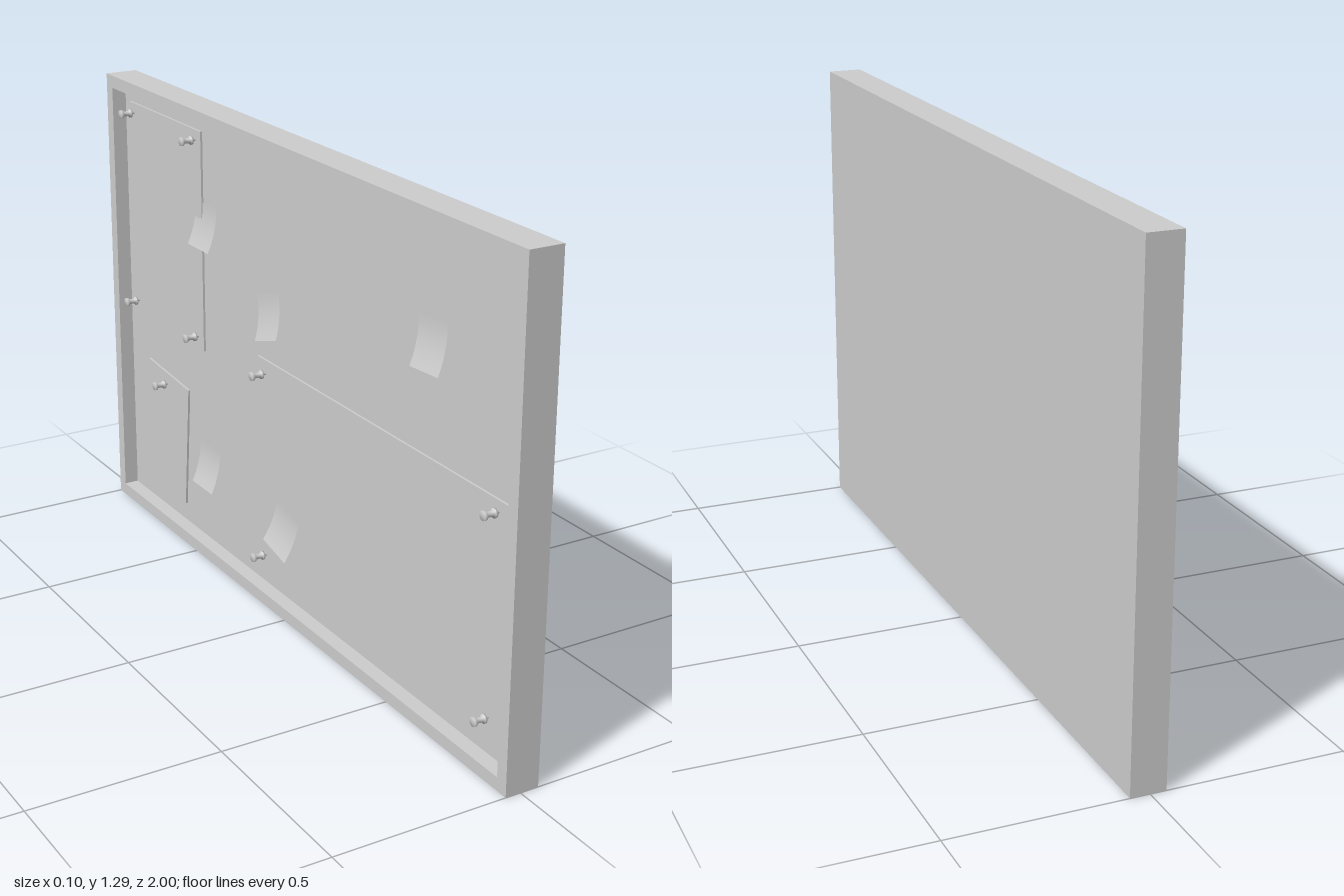
import * as THREE from 'three';

const W = 2, H = 1.29, RIM = 0.035, BACK = -0.05, FRONT = 0.041;

export function createModel() {
  const model = new THREE.Group();
  model.name = 'noticeBoard';
  const grey = new THREE.MeshStandardMaterial({ color: 0xcccccc });
  const thin = new THREE.MeshStandardMaterial({ color: 0xcccccc, side: THREE.DoubleSide });

  // The board is laid out in its own plane (x across, y up, z out), then turned to face -x
  const board = new THREE.Group();
  board.name = 'board';
  board.rotation.y = -Math.PI / 2;
  model.add(board);

  const add = (name, geometry, x, y, z, turn = 0, material = grey) => {
    const mesh = new THREE.Mesh(geometry, material);
    mesh.name = name;
    mesh.position.set(x, y, z);
    mesh.rotation.z = turn;
    board.add(mesh);
    return mesh;
  };

  // Backing panel, its pinning surface at z = 0
  add('backingPanel', new THREE.BoxGeometry(W, H, -BACK), 0, H / 2, BACK / 2);

  // Raised rim around the panel
  const rectangle = (path, w, h) => path
    .moveTo(-w / 2, -h / 2).lineTo(w / 2, -h / 2).lineTo(w / 2, h / 2).lineTo(-w / 2, h / 2).closePath();
  const outline = new THREE.Shape();
  const opening = new THREE.Path();
  rectangle(outline, W, H);
  rectangle(opening, W - 2 * RIM, H - 2 * RIM);
  outline.holes.push(opening);
  add('frameRim', new THREE.ExtrudeGeometry(outline, { depth: FRONT, bevelEnabled: false }), 0, H / 2, 0);

  // Pinned sheets: centre x, centre y, width, height, turn
  const T = 0.006;
  const sheets = [
    ['tallSheet', -0.715, 0.91, 0.43, 0.62, 0],
    ['wideSheet', 0.372, 0.375, 1.14, 0.615, 0],
    ['smallSheet', -0.74, 0.281, 0.25, 0.362, -0.085],
  ];
  for (const [name, x, y, w, h, turn] of sheets) {
    add(name, new THREE.BoxGeometry(w, h, T), x, y, T / 2, turn);
  }

  // Sticky notes: flat at the top, curling outward toward the bottom
  const noteSize = 0.12;
  const noteGeometry = new THREE.PlaneGeometry(0.115, noteSize, 1, 8);
  const p = noteGeometry.attributes.position;
  for (let i = 0; i < p.count; i++) {
    const t = 0.5 - p.getY(i) / noteSize;
    p.setZ(i, 0.002 + 0.028 * t * t);
  }
  noteGeometry.computeVertexNormals();
  const notes = [
    [0.61, 0.96, 0, 0.06],
    [-0.48, 0.965, 0, 0],
    [-0.13, 0.81, 0, 0.3],
    [-0.05, 0.235, T, -0.22],
    [-0.48, 0.262, 0, 0],
  ];
  for (const [x, y, z, turn] of notes) add('stickyNote', noteGeometry, x, y, z, turn, thin);

  // Push pins: collar, waisted grip and flat head
  const profile = [[0, 0], [0.003, 0], [0.003, 0.016], [0.012, 0.016], [0.012, 0.021],
    [0.007, 0.025], [0.007, 0.039], [0.012, 0.043], [0.012, 0.05], [0, 0.05]];
  const pinGeometry = new THREE.LatheGeometry(profile.map(([r, l]) => new THREE.Vector2(r, l)), 16);
  pinGeometry.rotateX(Math.PI / 2);
  const pins = [
    [-0.9, 1.192], [-0.53, 1.192], [-0.9, 0.636], [-0.53, 0.636],
    [-0.73, 0.43],
    [-0.155, 0.645], [-0.155, 0.122], [0.885, 0.655], [0.875, 0.135],
  ];
  for (const [x, y] of pins) add('pushPin', pinGeometry, x, y, 0);

  return model;
}
